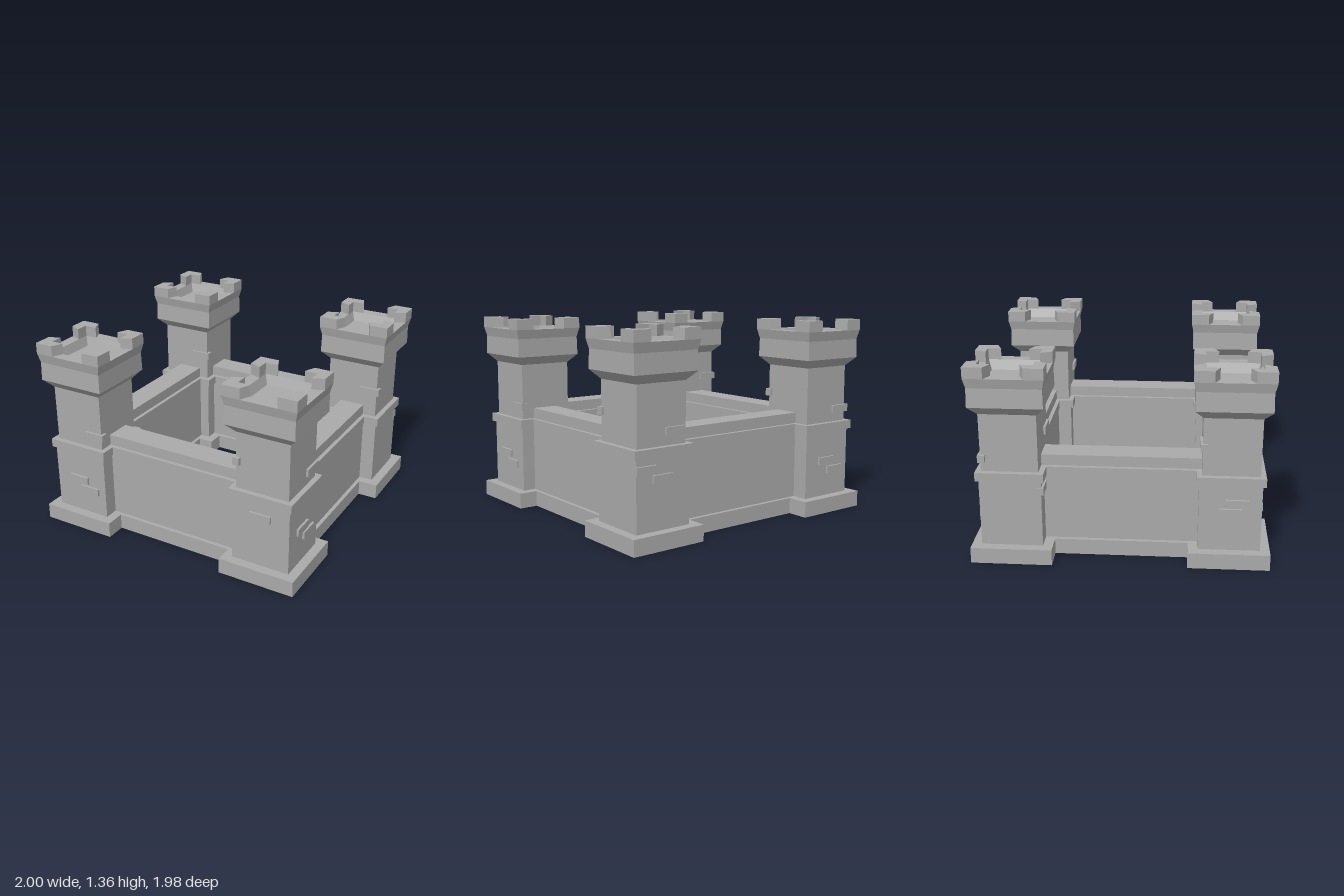
import * as THREE from 'three';
import { toCreasedNormals } from 'three/addons/utils/BufferGeometryUtils.js';

const stone = new THREE.MeshStandardMaterial({ color: 0xaaaaaa });
stone.name = 'grey stone';

function add(parent, geometry, name) {
  const mesh = new THREE.Mesh(geometry, stone);
  mesh.name = name;
  parent.add(mesh);
  return mesh;
}

// Square tower profile as [half width, height], from the underside to the sunken roof
const TOWER = [
  [0, 0], [0.272, 0], [0.272, 0.11], [0.206, 0.11], [0.206, 0.575],
  [0.226, 0.575], [0.226, 0.635], [0.189, 0.635], [0.189, 1.03],
  [0.245, 1.09], [0.242, 1.22], [0.257, 1.285], [0.18, 1.285], [0.158, 1.22], [0, 1.22],
];

function towerGeometry() {
  const points = TOWER.map(([h, y]) => new THREE.Vector2(h * Math.SQRT2, y));
  return toCreasedNormals(new THREE.LatheGeometry(points, 4, Math.PI / 4), 0.02);
}

// L-shaped corner merlon with splayed gap sides
function merlonGeometry() {
  const shape = new THREE.Shape([
    [0.257, 0.257], [0.127, 0.257], [0.094, 0.18], [0.18, 0.18], [0.18, 0.094], [0.257, 0.127],
  ].map(([x, y]) => new THREE.Vector2(x, y)));
  const geometry = new THREE.ExtrudeGeometry(shape, { depth: 0.075, bevelEnabled: false });
  return geometry.rotateX(-Math.PI / 2).translate(0, 1.285, 0);
}

// Towers with their raised bricks: [face (0 front, 1 +x, 2 back, 3 -x), offset to the right, height]
const TOWERS = [
  { name: 'frontRightTower', x: -0.706, z: 0.714, bricks: [
    [0, 0.135, 0.725], [0, -0.01, 0.365], [0, 0.075, 0.295],
    [3, 0.045, 0.45], [3, 0, 0.385], [2, 0.135, 0.83]] },
  { name: 'frontLeftTower', x: 0.72, z: 0.698, bricks: [
    [1, 0.125, 0.725], [1, -0.025, 0.365], [1, 0.065, 0.295],
    [0, 0, 0.455 + 0.02], [3, 0.135, 0.83]] },
  { name: 'backRightTower', x: -0.73, z: -0.726, bricks: [
    [2, 0.135, 0.725], [2, -0.01, 0.365], [2, 0.075, 0.295],
    [0, 0.135, 0.83], [0, -0.135, 0.505]] },
  { name: 'backLeftTower', x: 0.727, z: -0.717, bricks: [
    [2, -0.135, 0.505], [2, -0.01, 0.44], [2, 0.1, 0.725], [0, 0.135, 0.83]] },
];

function createTower({ name, x, z, bricks }) {
  const tower = new THREE.Group();
  tower.name = name;
  tower.position.set(x, 0, z);
  add(tower, towerGeometry(), 'towerBody');
  for (let i = 0; i < 4; i++) {
    add(tower, merlonGeometry(), 'merlon').rotation.y = i * Math.PI / 2;
  }
  for (const [face, u, y] of bricks) {
    const half = y < 0.6 ? 0.206 : 0.189;
    const geometry = new THREE.BoxGeometry(0.15, 0.052, 0.048).translate(u, y, half - 0.008);
    add(tower, geometry, 'raisedBrick').rotation.y = face * Math.PI / 2;
  }
  return tower;
}

// Wall layers: [half thickness, bottom, top]
const WALL = [
  ['wallPlinth', 0.131, 0, 0.11],
  ['wallBody', 0.104, 0.11, 0.575],
  ['wallCornice', 0.117, 0.575, 0.635],
  ['wallParapet', 0.09, 0.635, 0.71],
];

function createWall(name, x, z, angle) {
  const wall = new THREE.Group();
  wall.name = name;
  wall.position.set(x, 0, z);
  wall.rotation.y = angle;
  for (const [part, half, y0, y1] of WALL) {
    add(wall, new THREE.BoxGeometry(1.2, y1 - y0, half * 2), part).position.y = (y0 + y1) / 2;
  }
  return wall;
}

export function createModel() {
  const castle = new THREE.Group();
  castle.name = 'castle';
  TOWERS.forEach((t) => castle.add(createTower(t)));
  castle.add(
    createWall('frontWall', 0, 0.716, 0),
    createWall('backWall', 0, -0.716, 0),
    createWall('rightWall', -0.703, 0, Math.PI / 2),
    createWall('leftWall', 0.73, 0, Math.PI / 2),
  );
  return castle;
}
